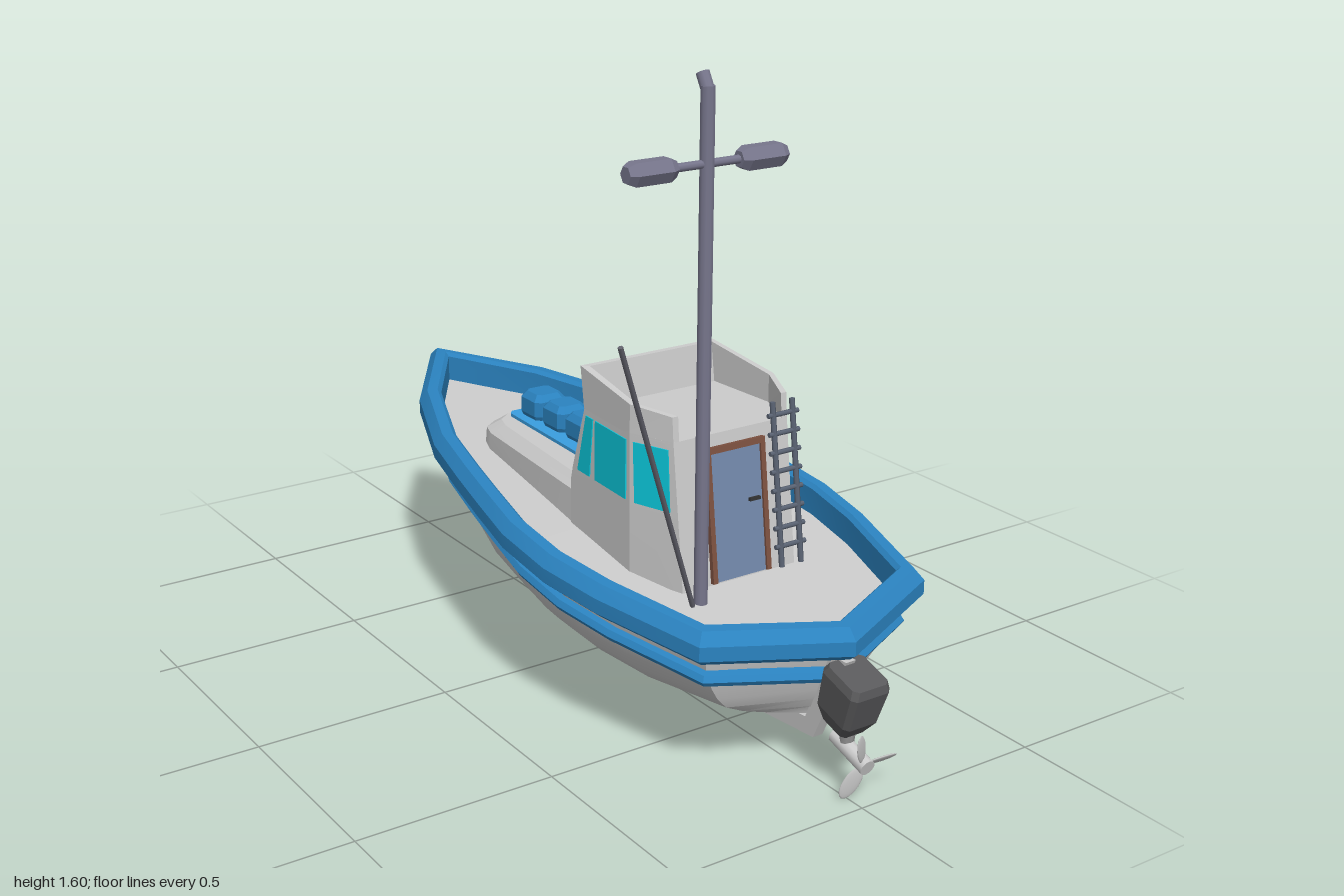
import * as THREE from 'three';
import { toCreasedNormals } from 'three/addons/utils/BufferGeometryUtils.js';

const GREY = 0xcccccc, BLUE = 0x2b83c0, SKY = 0x3a9ee0, GLASS = 0x0cc8dc, STEEL = 0x77768c, DARK = 0x5a5a5c;
const V = (x, y, z) => new THREE.Vector3(x, y, z);

function add(parent, name, geometry, color = GREY) {
  const material = new THREE.MeshStandardMaterial({ color, side: THREE.DoubleSide });
  const mesh = new THREE.Mesh(geometry, material);
  mesh.name = name;
  parent.add(mesh);
  return mesh;
}

// Skin a list of cross-sections; crease sets the angle below which edges are smooth
function loft(rings, { closed = true, loop = false, caps = false, crease = 0.3 } = {}) {
  const pos = [], n = rings[0].length, m = rings.length;
  const tri = (...p) => p.forEach(v => pos.push(v.x, v.y, v.z));
  for (let i = 0; i < (loop ? m : m - 1); i++) {
    const a = rings[i], b = rings[(i + 1) % m];
    for (let j = 0; j < (closed ? n : n - 1); j++) {
      const k = (j + 1) % n;
      tri(a[j], b[j], b[k]);
      tri(a[j], b[k], a[k]);
    }
  }
  if (caps) for (let j = 1; j < n - 1; j++) {
    tri(rings[0][0], rings[0][j], rings[0][j + 1]);
    tri(rings[m - 1][0], rings[m - 1][j + 1], rings[m - 1][j]);
  }
  const g = new THREE.BufferGeometry();
  g.setAttribute('position', new THREE.Float32BufferAttribute(pos, 3));
  g.computeVertexNormals();
  return toCreasedNormals(g, crease);
}

// Thin plate lying on four corners
function plate(parent, name, color, corners, t = 0.006) {
  const n = corners[1].clone().sub(corners[0]).cross(corners[2].clone().sub(corners[0])).setLength(t);
  return add(parent, name, loft([corners.map(c => c.clone().sub(n)), corners.map(c => c.clone().add(n))], { caps: true }), color);
}

// Round bar between two points
function bar(parent, name, a, b, r, color, sides = 8) {
  const m = add(parent, name, new THREE.CylinderGeometry(r, r, a.distanceTo(b), sides), color);
  m.position.copy(a).add(b).multiplyScalar(0.5);
  m.quaternion.setFromUnitVectors(V(0, 1, 0), b.clone().sub(a).normalize());
  return m;
}

// Chamfered rectangle at height y
const rect = (w, d, y, c) => [[w, d - c], [w - c, d], [c - w, d], [-w, d - c], [-w, c - d], [c - w, -d], [w - c, -d], [w, c - d]]
  .map(([x, z]) => V(x, y, z));

// Sheer line, bow to stern: z, half width, rail top, keel z, keel y
const STATIONS = [
  [-1, 0, 0.57, -0.6, 0.17], [-0.69, 0.206, 0.553, -0.48, 0.15], [-0.4, 0.32, 0.532, -0.33, 0.12],
  [-0.2, 0.365, 0.517, -0.2, 0.112], [-0.05, 0.395, 0.505, -0.05, 0.105], [0.13, 0.428, 0.49, 0.13, 0.1],
  [0.32, 0.432, 0.472, 0.32, 0.098], [0.5, 0.405, 0.456, 0.5, 0.1], [0.79, 0.325, 0.43, 0.72, 0.12], [0.93, 0, 0.413, 0.79, 0.13]];
const LAST = STATIONS.length - 1;
const OUTLINE = [...STATIONS, ...STATIONS.slice(1, LAST).reverse().map(s => [s[0], -s[1], s[2]])];

// Outline point i moved inwards by d (mitred) and raised by dy from the rail top
function inset(i, d, dy) {
  const n = OUTLINE.length, at = k => OUTLINE[(k + n) % n], p = at(i), a = at(i - 1), b = at(i + 1);
  const normal = (s, e) => new THREE.Vector2(s[0] - e[0], e[1] - s[1]).normalize();
  const n1 = normal(a, p), n2 = normal(p, b), m = n1.clone().add(n2).normalize();
  m.multiplyScalar(d / m.dot(n1));
  return V(p[1] + m.x, p[2] + dy, p[0] + m.y);
}
const belt = section => loft(OUTLINE.map((_, i) => section.map(([d, y]) => inset(i, d, y))), { loop: true, crease: 0.45 });

function buildHull(boat) {
  // Hull shell: rounded V sections between sheer and keel
  const half = [[1, 1], [0.75, 0.965], [0.55, 0.89], [0.42, 0.82], [0.3, 0.72], [0.2, 0.54], [0.1, 0.29], [0, 0.02]];
  const rings = STATIONS.map(([, , , kz, ky], i) => {
    const top = inset(i, i === 0 ? 0.03 : 0.052, -0.06);
    const side = half.map(([s, f]) => V(top.x * Math.pow(f, i < 3 ? 1.3 : 1), ky + (top.y - ky) * s,
      kz + (top.z - kz) * Math.pow(s, i < 3 ? 0.57 : 1)));
    return [...side, ...side.slice(0, -1).reverse().map(p => V(-p.x, p.y, p.z))];
  });
  add(boat, 'hull', loft(rings, { closed: false, crease: 0.7 }));

  // Keel and stem strip
  const outer = [[0.915, 0.33], [0.81, 0.1], [0.47, 0.07], [0, 0.073], [-0.23, 0.09], [-0.62, 0.145], [-0.82, 0.27], [-0.985, 0.49]];
  const inner = [[-0.92, 0.49], [-0.77, 0.29], [-0.59, 0.19], [-0.23, 0.13], [0, 0.115], [0.47, 0.11], [0.78, 0.14], [0.86, 0.33]];
  const shape = new THREE.Shape([...outer, ...inner].map(([z, y]) => new THREE.Vector2(-z, y)));
  const keel = add(boat, 'keelStrip', new THREE.ExtrudeGeometry(shape, { depth: 0.028, bevelEnabled: false }));
  keel.rotation.y = Math.PI / 2;
  keel.position.x = -0.014;

  // Deck, gunwale and rubbing strake
  const deck = STATIONS.map((_, i) => { const p = inset(i, 0.045, -0.078); return [p, V(-p.x, p.y, p.z)]; });
  add(boat, 'deck', loft(deck, { closed: false }));
  add(boat, 'gunwale', belt([[0.018, -0.08], [0, -0.065], [0, -0.03], [0.022, -0.002], [0.05, 0], [0.06, -0.01], [0.06, -0.085]]), BLUE);
  add(boat, 'rubbingStrake', belt([[0.065, -0.152], [0.046, -0.148], [0.038, -0.136], [0.046, -0.122], [0.065, -0.117]]), BLUE);
}

function buildTrunk(boat) {
  const ring = (y, k) => [[-0.195, 0.1], [-0.152, -0.41], [-0.135, -0.46], [-0.095, -0.49], [0.095, -0.49], [0.135, -0.46], [0.152, -0.41], [0.195, 0.1]]
    .map(([x, z]) => V(x - Math.sign(x) * k, y, z < 0 ? z + k : z));
  add(boat, 'foreTrunk', loft([ring(0.4, 0), ring(0.5, 0.006), ring(0.525, 0.035)], { caps: true }));
  const strip = y => [[-0.09, 0.08], [-0.068, -0.43], [-0.055, -0.445], [0.055, -0.445], [0.068, -0.43], [0.09, 0.08]].map(([x, z]) => V(x, y, z));
  add(boat, 'trunkMat', loft([strip(0.52), strip(0.534)], { caps: true }), SKY);
  for (let i = 0; i < 4; i++) {
    const g = loft([rect(0.042, 0.042, 0.53, 0.012), rect(0.048, 0.048, 0.545, 0.014), rect(0.048, 0.048, 0.585, 0.014), rect(0.034, 0.034, 0.602, 0.01)], { caps: true });
    add(boat, 'deckCrate', g, BLUE).position.z = -0.04 - i * 0.111;
  }
}

// Cabin walls: front and aft z by height, side x by position
const frontZ = y => 0.08 + Math.max(0, y - 0.57) * 0.324 - (y < 0.57 ? 0.01 : 0);
const aftZ = y => 0.505 - 0.12 * (y - 0.38);
const sideX = (z, y) => z < 0.35 ? 0.195 + 0.015 * (z - frontZ(y)) / (0.35 - frontZ(y)) : 0.21 - 0.045 * (z - 0.35) / (aftZ(y) - 0.35);

function buildCabin(boat) {
  const half = y => [[0.165, aftZ(y)], [0.21, 0.35], [0.195, frontZ(y)]];
  const both = pts => [...pts, ...pts.slice().reverse().map(([x, ...r]) => [-x, ...r])];
  add(boat, 'cabin', loft([0.38, 0.53, 0.57, 0.74].map(y => both(half(y)).map(([x, z]) => V(x, y, z))), { caps: true, crease: 0.1 }));

  // Parapet round the roof, open at the back
  const path = both([[0.165, 0.462, 0.8, 0.457], [0.21, 0.35, 0.81, 0.35], [0.197, 0.135, 0.84, 0.12]]);
  const parapet = path.map(([x, z, top, zt]) => {
    const t = z < 0.2 ? 0.016 : z > 0.4 ? 0 : 0.003, xi = x - Math.sign(x) * 0.016;
    return [V(x, 0.735, z), V(x, top, zt), V(xi, top, zt + t), V(xi, 0.735, z + t)];
  });
  add(boat, 'roofParapet', loft(parapet, { caps: true, crease: 0.1 }));

  // Windows, mirrored
  const windows = [
    [[0.365, 0.57], [0.462, 0.57], [0.45, 0.72], [0.36, 0.72]],
    [[0.19, 0.57], [0.335, 0.57], [0.335, 0.72], [0.19, 0.72]],
    [[0.107, 0.57], [0.165, 0.57], [0.178, 0.72], [0.145, 0.72]]];
  for (const s of [1, -1]) {
    for (const w of windows) plate(boat, 'sideWindow', GLASS, w.map(([z, y]) => V(s * sideX(z, y), y, z)), 0.003);
    plate(boat, 'windshield', GLASS, [[0.012, 0.575], [0.185, 0.575], [0.185, 0.72], [0.012, 0.72]].map(([x, y]) => V(s * x, y, frontZ(y))), 0.004);
  }

  // Door with frame
  const onAft = (name, color, x0, x1, y0, y1, t) =>
    plate(boat, name, color, [[x0, y0], [x1, y0], [x1, y1], [x0, y1]].map(([x, y]) => V(x, y, aftZ(y))), t);
  onAft('door', 0x7389ab, -0.07, 0.075, 0.385, 0.695, 0.006);
  onAft('doorFrame', 0x7d5140, -0.083, -0.07, 0.385, 0.695, 0.012);
  onAft('doorFrame', 0x7d5140, 0.075, 0.088, 0.385, 0.695, 0.012);
  onAft('doorFrame', 0x7d5140, -0.083, 0.088, 0.695, 0.71, 0.012);
  onAft('doorHandle', 0x333333, 0.035, 0.065, 0.562, 0.57, 0.014);

  // Ladder
  const ladderZ = y => 0.523 - (y - 0.42) * 0.13;
  for (const x of [0.11, 0.168]) bar(boat, 'ladderRail', V(x, 0.39, ladderZ(0.39)), V(x, 0.79, ladderZ(0.79)), 0.007, 0x5b6474, 6);
  for (let i = 0; i < 8; i++) {
    const y = 0.44 + i * 0.0455;
    bar(boat, 'ladderRung', V(0.094, y, ladderZ(y)), V(0.184, y, ladderZ(y)), 0.006, 0x5b6474, 6);
  }
}

function buildMast(boat) {
  const x = -0.148, z = 0.552;
  bar(boat, 'mast', V(x, 0.36, z), V(x, 1.575, z), 0.017, STEEL, 10);
  bar(boat, 'mastTip', V(x, 1.565, z), V(x, 1.6, z - 0.02), 0.016, STEEL, 10);
  bar(boat, 'crossArm', V(x - 0.1, 1.405, z), V(x + 0.1, 1.405, z), 0.01, STEEL);
  const profile = [[0, -0.063], [0.02, -0.063], [0.03, -0.045], [0.03, 0.045], [0.02, 0.063], [0, 0.063]].map(p => new THREE.Vector2(...p));
  for (const s of [-1, 1]) {
    const lamp = add(boat, 'mastLamp', toCreasedNormals(new THREE.LatheGeometry(profile, 6), 0.1), STEEL);
    lamp.rotation.z = Math.PI / 2;
    lamp.position.set(x + s * 0.149, 1.405, z);
  }
  bar(boat, 'antenna', V(-0.185, 0.38, 0.572), V(-0.482, 1.09, 0.715), 0.006, 0x62626c, 6);
}

function buildOutboard(boat) {
  const motor = new THREE.Group();
  motor.name = 'outboardMotor';
  motor.position.set(0, 0.245, 0.92);
  motor.rotation.x = 0.3;
  boat.add(motor);
  add(motor, 'motorCowl', loft([rect(0.034, 0.04, -0.08, 0.01), rect(0.05, 0.058, -0.04, 0.012), rect(0.056, 0.062, 0.05, 0.012), rect(0.05, 0.054, 0.07, 0.012)], { caps: true }), DARK);
  bar(motor, 'motorLeg', V(0, -0.07, 0.02), V(0, -0.122, 0.025), 0.017, 0x9a9a9a);
  bar(motor, 'propellerHub', V(0, -0.122, -0.012), V(0, -0.122, 0.105), 0.02, GREY, 12);
  for (const deg of [112, -5, 248]) {
    const blade = new THREE.Group();
    blade.position.set(0, -0.122, 0.09);
    blade.rotation.z = THREE.MathUtils.degToRad(deg);
    motor.add(blade);
    const m = add(blade, 'propellerBlade', new THREE.SphereGeometry(1, 14, 8));
    m.scale.set(0.045, 0.02, 0.004);
    m.position.x = 0.055;
    m.rotation.x = 0.5;
  }
}

export function createModel() {
  const root = new THREE.Group(), boat = new THREE.Group();
  root.name = 'fishingBoat';
  boat.name = 'boat';
  boat.position.x = 0.025;
  root.add(boat);
  [buildHull, buildTrunk, buildCabin, buildMast, buildOutboard].forEach(build => build(boat));
  return root;
}
